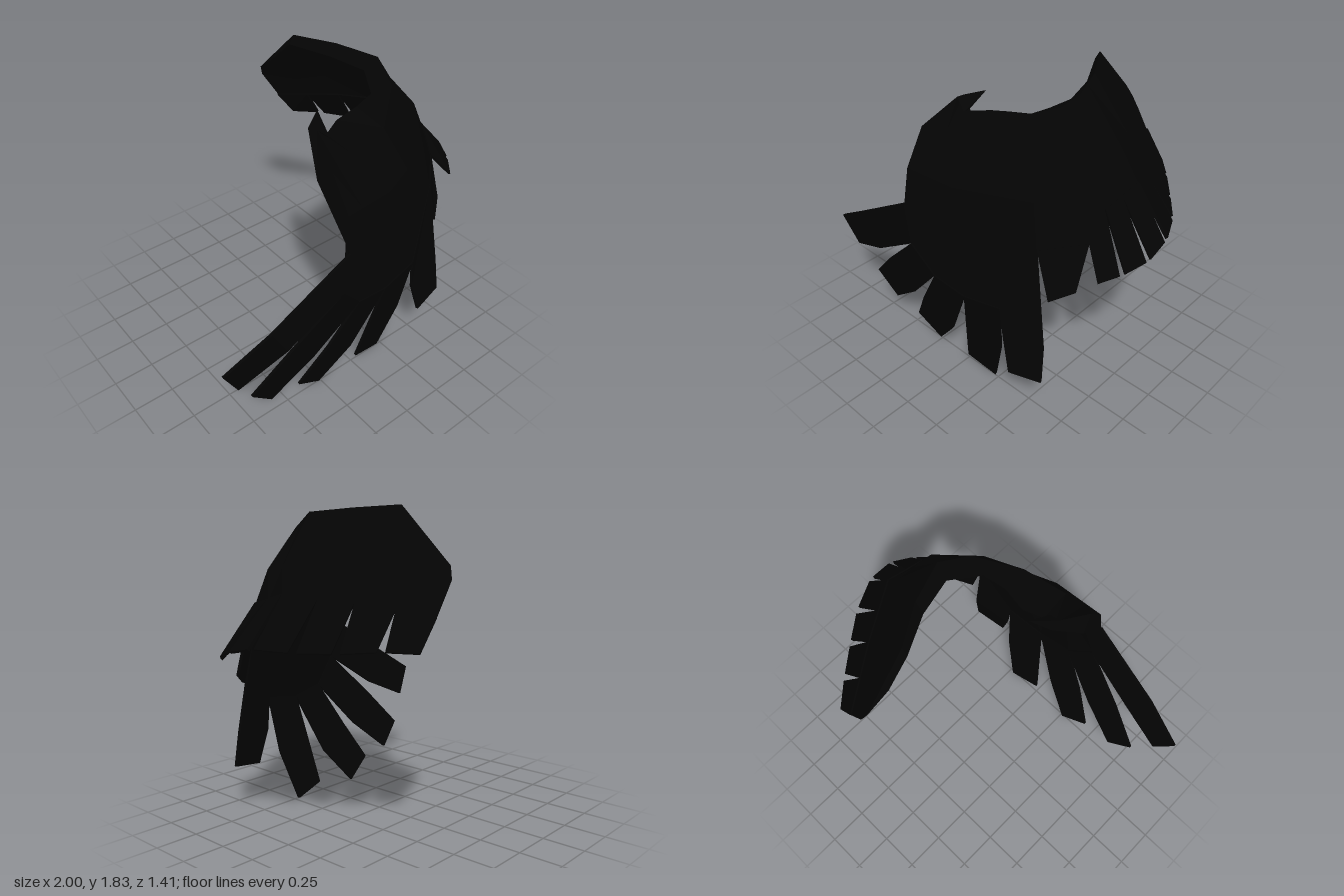
import * as THREE from 'three';

const V = (p) => new THREE.Vector3(...p);

// Skin a row of equal closed rings into a faceted solid with capped ends
function loft(rings) {
  const tris = [];
  const n = rings[0].length;
  for (let i = 0; i < rings.length - 1; i++) {
    for (let j = 0; j < n; j++) {
      const k = (j + 1) % n;
      const [a, b, c, d] = [rings[i][j], rings[i][k], rings[i + 1][k], rings[i + 1][j]];
      tris.push([a, b, c], [a, c, d]);
    }
  }
  const first = rings[0], last = rings[rings.length - 1];
  for (let j = 1; j < n - 1; j++) {
    tris.push([first[0], first[j + 1], first[j]], [last[0], last[j], last[j + 1]]);
  }
  // Turn every face outward
  let volume = 0;
  for (const [a, b, c] of tris) volume += a.dot(b.clone().cross(c));
  const pts = tris.flatMap(([a, b, c]) => (volume < 0 ? [a, c, b] : [a, b, c]));
  const geo = new THREE.BufferGeometry().setFromPoints(pts);
  geo.computeVertexNormals();
  return geo;
}

// Lengthwise line of the wing: straight between keys of [station, x, y, z]
const rail = (keys) => (s) => {
  const i = Math.max(1, keys.findIndex((k) => k[0] >= s));
  const [s0, ...p0] = keys[i - 1];
  const [s1, ...p1] = keys[i];
  return V(p0).lerp(V(p1), (s - s0) / (s1 - s0));
};

const leadingEdge = rail([
  [0, -0.265, 1.46, 0.46], [1, -0.18, 1.65, 0.28], [2, -0.09, 1.6, 0.32],
  [3, 0.02, 1.62, 0.27], [4, 0.15, 1.66, 0.28], [6, 0.28, 1.68, 0.25],
  [8, 0.38, 1.72, 0.08], [10, 0.32, 1.74, -0.14], [11, 0.2, 1.77, -0.36],
  [12, 0.19, 1.62, -0.52], [13, 0.24, 1.44, -0.7],
]);
const crest = rail([
  [0, -0.235, 1.54, 0.54], [1, -0.17, 1.66, 0.34], [2, -0.06, 1.55, 0.53],
  [4, 0.18, 1.6, 0.46], [6, 0.4, 1.7, 0.28], [8, 0.46, 1.785, 0.1],
  [10, 0.37, 1.805, -0.14], [11, 0.23, 1.82, -0.36], [13, 0.21, 1.51, -0.67],
]);
const middle = rail([
  [0, -0.23, 1.34, 0.665], [3, 0.08, 1.34, 0.64], [5, 0.5, 1.35, 0.47],
  [7, 0.66, 1.48, 0.22], [9, 0.67, 1.5, -0.02], [11, 0.48, 1.5, -0.36],
  [13, 0.29, 1.37, -0.7],
]);
const trailingEdge = rail([
  [0, -0.24, 1.13, 0.7], [1, -0.25, 0.84, 0.67], [2, -0.1, 0.67, 0.64],
  [3, 0.12, 0.63, 0.62], [4, 0.37, 0.67, 0.59], [5, 0.55, 1.1, 0.5],
  [6, 0.74, 1.14, 0.32], [7, 0.75, 1.3, 0.22], [9, 0.77, 1.36, -0.02],
  [11, 0.58, 1.33, -0.35], [13, 0.36, 1.26, -0.7],
]);

// Centres of each long feather's bend and tip
const longFeathers = [
  [[-0.665, 0.725, 0.655], [-0.95, 0.575, 0.61]],
  [[-0.465, 0.455, 0.595], [-0.715, 0.22, 0.54]],
  [[-0.175, 0.305, 0.575], [-0.35, 0.055, 0.51]],
  [[0.2, 0.345, 0.56], [0.12, 0.02, 0.505]],
  [[0.515, 0.49, 0.565], [0.55, 0.275, 0.59]],
];

// Line along the tips of the short feathers, one point where each begins
const shortTips = new THREE.CatmullRomCurve3([
  [0.86, 0.99, 0.39], [0.94, 1.03, 0.28], [0.99, 1.07, 0.14], [0.97, 1.1, -0.03],
  [0.87, 1.09, -0.23], [0.74, 1.09, -0.4], [0.6, 1.1, -0.57], [0.46, 1.09, -0.73],
].map(V));

// Thin bent plate through pairs of edge points
function feather(pairs) {
  const [[a, b], [c, d]] = pairs;
  const n = b.clone().sub(a).cross(c.clone().add(d).sub(a).sub(b)).setLength(0.008);
  return loft(pairs.map(([p, q]) => [
    p.clone().add(n), q.clone().add(n), q.clone().sub(n), p.clone().sub(n),
  ]));
}

export function createModel() {
  const group = new THREE.Group();
  const black = new THREE.MeshStandardMaterial({ color: 0x040404 });
  black.name = 'featherBlack';
  const add = (name, geo) => {
    const mesh = new THREE.Mesh(geo, black);
    mesh.name = name;
    group.add(mesh);
  };

  // Curved wing, thick at the leading edge and sharp at the trailing edge
  const sections = Array.from({ length: 14 }, (_, s) => {
    const [lead, mid, trail] = [leadingEdge(s), middle(s), trailingEdge(s)];
    const chord = new THREE.Line3(lead, trail).closestPointToPoint(mid, true, new THREE.Vector3());
    return [lead, crest(s), mid, trail, mid.clone().lerp(chord, 0.4)];
  });
  add('wingBody', loft(sections));

  // Pointed thumb hook on the leading edge
  const tip = V([-0.07, 1.69, 0.22]);
  const base = [leadingEdge(1), crest(1), V([-0.1, 1.6, 0.36]), V([-0.12, 1.57, 0.34])];
  add('thumbHook', loft([base, base.map((p) => tip.clone().lerp(p, 0.03))]));

  // Long feathers, widest at the bend and slightly twisted
  const root = (s) => [trailingEdge(s), trailingEdge(s + 1)];
  longFeathers.forEach((centres, i) => {
    const [bend, end] = centres.map(V);
    const across = new THREE.Vector3(bend.y - end.y, end.x - bend.x, -0.04);
    const edges = (centre, halfWidth) => {
      across.setLength(halfWidth);
      return [centre.clone().sub(across), centre.clone().add(across)];
    };
    add(`longFeather${i + 1}`, feather([root(i), edges(bend, 0.13), edges(end, 0.107)]));
  });

  // Middle feather between the long and short groups
  add('middleFeather', feather([root(5), [V([0.63, 0.81, 0.5]), V([0.74, 0.88, 0.41])]]));

  // Short feathers fan out to the wing's end
  for (let i = 0; i < 7; i++) {
    const tips = [shortTips.getPoint(i / 7), shortTips.getPoint((i + 0.8) / 7)];
    add(`shortFeather${i + 1}`, feather([root(i + 6), tips]));
  }

  return group;
}
